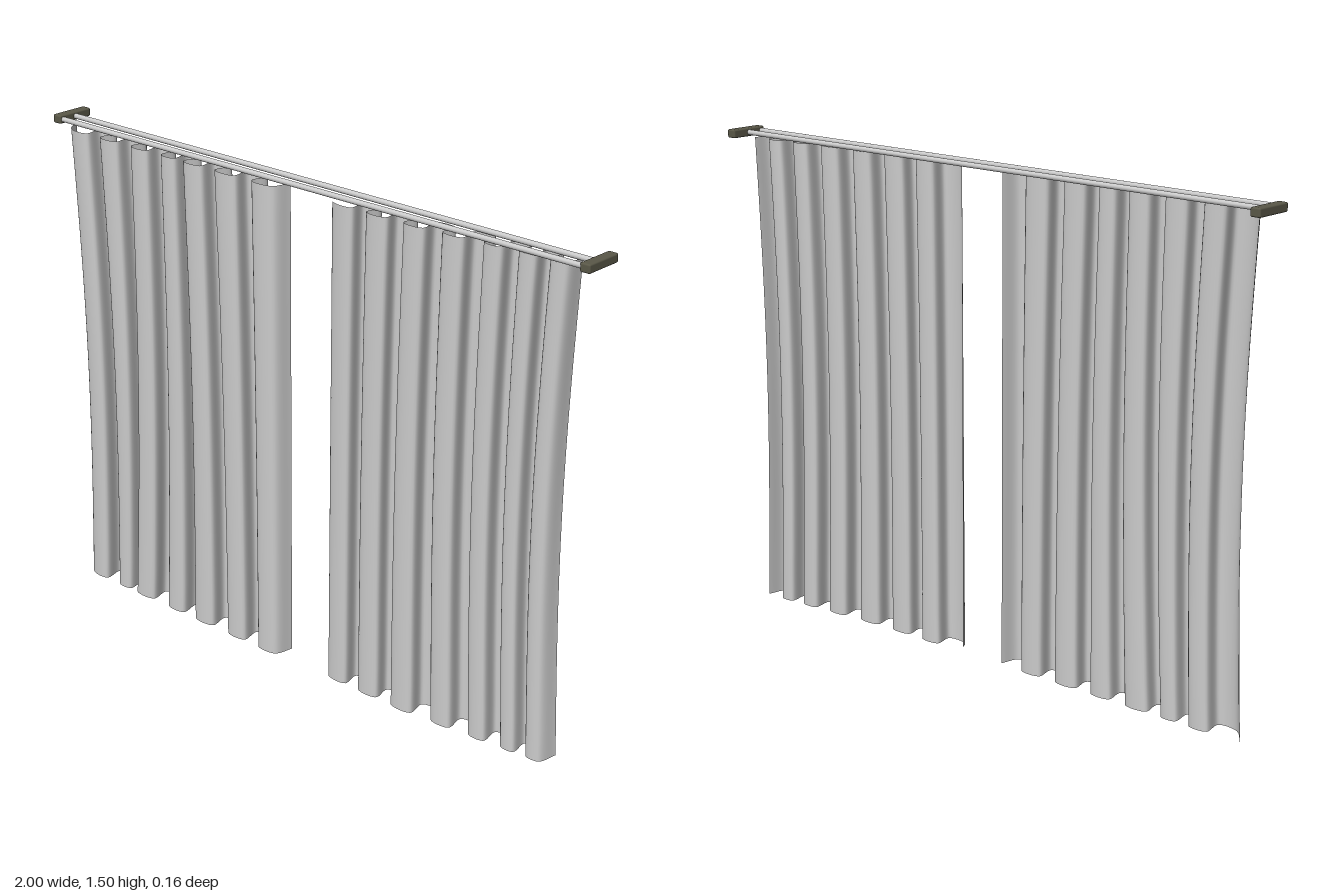
import * as THREE from 'three';
import { RoundedBoxGeometry } from 'three/addons/geometries/RoundedBoxGeometry.js';

const TOP = 1.48;
const cloth = new THREE.MeshStandardMaterial({ color: 0xcccccc, side: THREE.DoubleSide });
const metal = new THREE.MeshStandardMaterial({ color: 0xcccccc });
const bracketMat = new THREE.MeshStandardMaterial({ color: 0x5a5848 });

// Plan outline of the folds: every crest and every valley is a pair of points,
// wide enough that neighbouring folds overhang each other.
function foldCurve(start, crests, end, centre, amp) {
  const pts = [start];
  crests.forEach((c, i) => {
    const last = i === crests.length - 1;
    const gap = last ? c - crests[i - 1] : crests[i + 1] - c;
    const w = gap * 0.27;
    pts.push([c - w, centre(c) + amp * 0.86], [c + w, centre(c) + amp * 0.86]);
    if (!last) {
      const m = c + gap / 2;
      pts.push([m - w, centre(m) - amp * 0.86], [m + w, centre(m) - amp * 0.86]);
    }
  });
  pts.push(end);
  return new THREE.CatmullRomCurve3(pts.map(([x, z]) => new THREE.Vector3(x, 0, z)), false, 'centripetal');
}

// Cloth lofted between a hem outline and a heading outline, drawn in at mid height
function curtain(name, hem, heading, inner) {
  const cols = 200, rows = 16, pos = [], idx = [];
  const p = new THREE.Vector3(), q = new THREE.Vector3();
  for (let r = 0; r <= rows; r++) {
    const t = r / rows;
    const pull = 1 - 0.028 * Math.sin(Math.PI * t) - 0.012 * (1 - t);
    for (let c = 0; c <= cols; c++) {
      hem.getPoint(c / cols, p);
      heading.getPoint(c / cols, q);
      p.lerp(q, t);
      pos.push(inner + (p.x - inner) * pull, t * TOP, p.z);
      if (r < rows && c < cols) {
        const a = r * (cols + 1) + c, b = a + cols + 1;
        idx.push(a, a + 1, b + 1, a, b + 1, b);
      }
    }
  }
  const geo = new THREE.BufferGeometry();
  geo.setAttribute('position', new THREE.Float32BufferAttribute(pos, 3));
  geo.setIndex(idx);
  geo.computeVertexNormals();
  const mesh = new THREE.Mesh(geo, cloth);
  mesh.name = name;
  return mesh;
}

export function createModel() {
  const g = new THREE.Group();
  g.name = 'curtains';

  // Right-hand curtain (-x)
  const flat = () => 0.036;
  const r = (crests) => foldCurve([-0.94, 0.005], crests, [-0.052, 0.01], flat, 0.036);
  g.add(curtain('rightCurtain',
    r([-0.85, -0.735, -0.64, -0.5, -0.375, -0.235, -0.105]),
    r([-0.86, -0.735, -0.605, -0.485, -0.385, -0.255, -0.11]), -0.05));

  // Left-hand curtain (+x), whose outer half swings back
  const swing = (x) => 0.03 - 0.09 * Math.max(0, x - 0.45);
  const l = (crests) => foldCurve([0.122, 0.03], crests, [0.918, -0.04], swing, 0.033);
  g.add(curtain('leftCurtain',
    l([0.175, 0.295, 0.425, 0.565, 0.69, 0.795, 0.88]),
    l([0.185, 0.305, 0.435, 0.56, 0.685, 0.79, 0.885]), 0.12));

  // Twin rods
  for (const [name, z] of [['backRod', -0.018], ['frontRod', 0.032]]) {
    const rod = new THREE.Mesh(new THREE.CylinderGeometry(0.008, 0.008, 1.95, 16), metal);
    rod.rotation.z = Math.PI / 2;
    rod.position.set(0, 1.488, z);
    rod.name = name;
    g.add(rod);
  }

  // Wall brackets at both ends
  for (const s of [-1, 1]) {
    const b = new THREE.Mesh(new RoundedBoxGeometry(0.032, 0.026, 0.124, 2, 0.005), bracketMat);
    b.position.set(s * 0.984, 1.488, -0.017);
    b.name = s > 0 ? 'leftBracket' : 'rightBracket';
    g.add(b);
  }
  return g;
}
